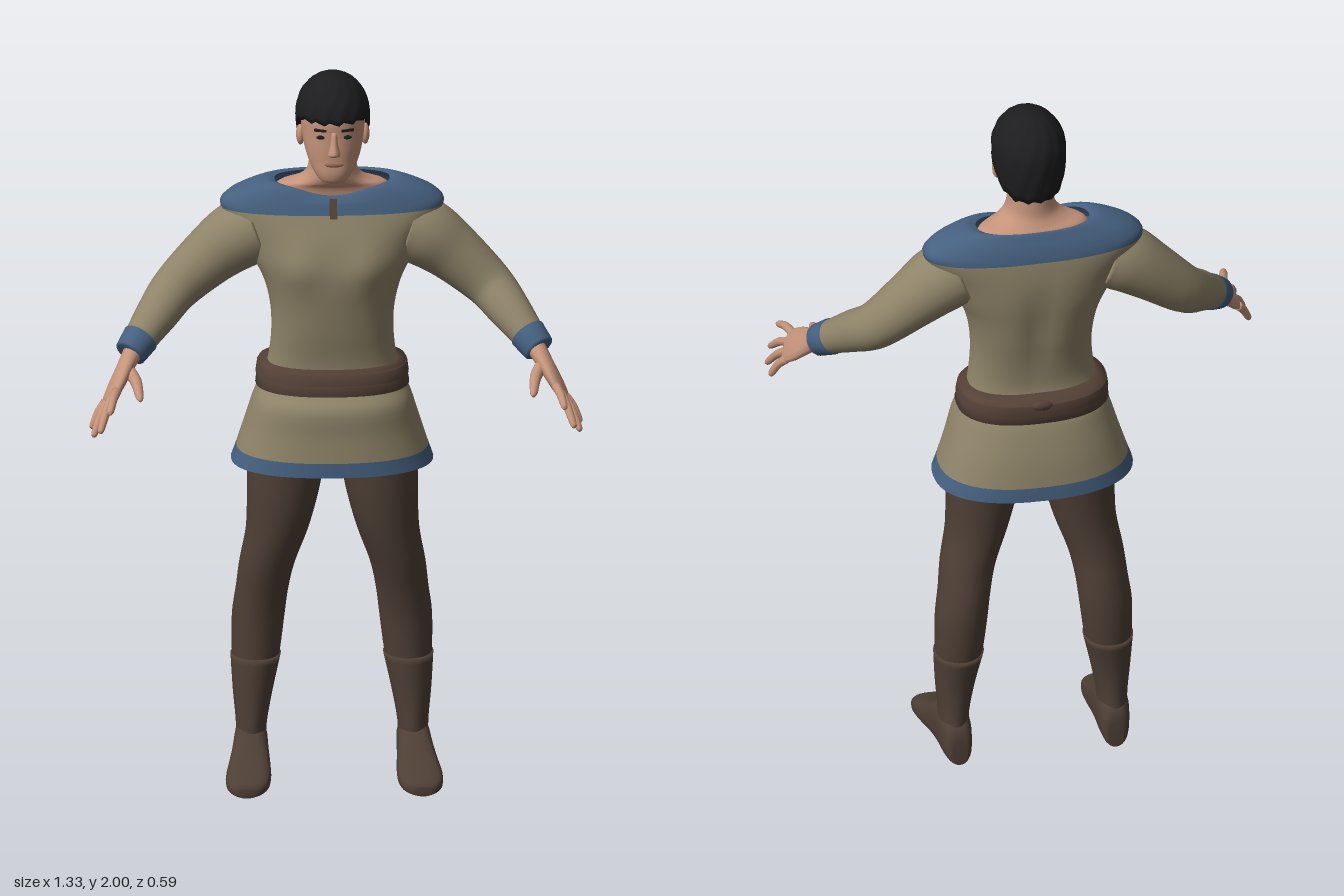
import * as THREE from 'three';

const mat = (name, color, side = THREE.FrontSide) => {
  const m = new THREE.MeshStandardMaterial({ color, side });
  m.name = name;
  return m;
};

// Catmull-Rom interpolation of every column, n steps per row
function smooth(rows, n) {
  const out = [], last = rows.length - 1;
  const cr = (a, b, c, d, t) => 0.5 * (2 * b + (c - a) * t + (2 * a - 5 * b + 4 * c - d) * t * t + (3 * b - a - 3 * c + d) * t * t * t);
  for (let i = 0; i < last; i++) {
    const a = rows[Math.max(i - 1, 0)], b = rows[i], c = rows[i + 1], d = rows[Math.min(i + 2, last)];
    for (let k = 0; k < n; k++) out.push(b.map((_, q) => cr(a[q], b[q], c[q], d[q], k / n)));
  }
  out.push(rows[last].slice());
  return out;
}

// One closed ring around c with half axes u and v; e is the squareness
function ring(c, u, v, e = 2, seg = 24) {
  const f = t => Math.sign(t) * Math.pow(Math.abs(t), 2 / e);
  return Array.from({ length: seg }, (_, j) => {
    const a = (j / seg) * Math.PI * 2;
    return c.clone().addScaledVector(u, f(Math.cos(a))).addScaledVector(v, f(Math.sin(a)));
  });
}

// Skin a stack of rings, with optional end caps
function loft(rings, caps = true) {
  const seg = rings[0].length, n = rings.length, pts = rings.flat(), idx = [];
  for (let i = 0; i < n - 1; i++) for (let j = 0; j < seg; j++) {
    const a = i * seg + j, b = i * seg + (j + 1) % seg;
    idx.push(a, a + seg, b, b, a + seg, b + seg);
  }
  if (caps) for (const i of [0, n - 1]) {
    const c = rings[i].reduce((s, p) => s.add(p), new THREE.Vector3()).divideScalar(seg);
    const k = pts.push(c) - 1;
    for (let j = 0; j < seg; j++) {
      const a = i * seg + j, b = i * seg + (j + 1) % seg;
      i ? idx.push(k, b, a) : idx.push(k, a, b);
    }
  }
  const g = new THREE.BufferGeometry().setFromPoints(pts);
  g.setIndex(idx);
  g.computeVertexNormals();
  return g;
}

// Level rings from rows [y, centre x, half width, front z, back z]
const level = (rows, n = 4, e = 2, seg = 32) => smooth(rows, n).map(([y, cx, rx, zf, zb]) =>
  ring(new THREE.Vector3(cx, y, (zf + zb) / 2), new THREE.Vector3(rx, 0, 0), new THREE.Vector3(0, 0, (zf - zb) / 2), e, seg));

// Limb along rows [x, y, z, radius, second radius]; ref sets the direction of the first radius
function limb(rows, s, ref = [0, 0, 1], n = 4, seg = 16) {
  const r = smooth(rows, n), at = i => new THREE.Vector3(s * r[i][0], r[i][1], r[i][2]);
  return loft(r.map((q, i) => {
    const d = at(Math.min(i + 1, r.length - 1)).sub(at(Math.max(i - 1, 0))).normalize();
    const u = new THREE.Vector3(s * ref[0], ref[1], ref[2]);
    u.addScaledVector(d, -u.dot(d)).normalize();
    const v = u.clone().cross(d);
    return ring(at(i), u.multiplyScalar(q[3]), v.multiplyScalar(q[4] ?? q[3]), 2, seg);
  }));
}

export function createModel() {
  const model = new THREE.Group();
  const skin = mat('skin', 0xc4937a), hair = mat('black hair', 0x1d1d1f, THREE.DoubleSide);
  const cloth = mat('tan cloth', 0x8f8469, THREE.DoubleSide), trim = mat('blue trim', 0x45607f, THREE.DoubleSide);
  const hose = mat('brown hose', 0x4e3f35), leather = mat('leather', 0x554237, THREE.DoubleSide), lip = mat('lips', 0xa06d5b);
  const add = (name, geo, m) => {
    const o = new THREE.Mesh(geo, m);
    o.name = name;
    model.add(o);
    return o;
  };

  // Tunic: hem, body and shoulder yoke in one smooth skin
  const tunicRows = [
    [0.89, 0, 0.272, 0.065, -0.297], [0.93, 0, 0.258, 0.062, -0.292], [1.0, 0, 0.236, 0.057, -0.28],
    [1.07, 0, 0.215, 0.055, -0.26], [1.11, 0, 0.198, 0.025, -0.243], [1.15, 0, 0.181, 0.0, -0.21],
    [1.2, 0, 0.17, 0.0, -0.2], [1.27, 0, 0.164, 0.012, -0.207], [1.34, 0, 0.168, 0.022, -0.22],
    [1.41, 0, 0.185, 0.03, -0.23], [1.47, 0, 0.213, 0.028, -0.236], [1.54, 0, 0.245, 0.012, -0.236],
    [1.61, 0, 0.3, -0.015, -0.227], [1.645, 0, 0.283, -0.027, -0.217], [1.67, 0, 0.24, -0.035, -0.205],
    [1.688, 0, 0.185, -0.043, -0.195], [1.684, 0, 0.155, -0.052, -0.188]];
  const N = 4, SEG = 48;
  const tunicRings = level(tunicRows, N, 2.35, SEG);
  for (const p of tunicRings.flat()) {
    const front = p.z > -0.115, chest = Math.exp(-(((p.y - 1.47) / 0.06) ** 2));
    // chest swell, spine groove and dipped neckline
    if (front) p.z += 0.014 * chest * Math.exp(-(((Math.abs(p.x) - 0.09) / 0.05) ** 2));
    else p.z += 0.014 * Math.exp(-((p.x / 0.035) ** 2) - (((p.y - 1.4) / 0.14) ** 2));
    if (front && p.y > 1.64) p.y -= 0.032 * (p.y - 1.64) / 0.048 * Math.exp(-((p.x / 0.1) ** 2));
  }
  const tunic = loft(tunicRings, false), strip = N * SEG * 6;
  tunic.addGroup(0, strip, 0);
  tunic.addGroup(strip, 11 * strip, 1);
  tunic.addGroup(12 * strip, 4 * strip, 0);
  add('tunic', tunic, [trim, cloth]);
  add('skirtLining', loft(level([[0.892, 0, 0.264, 0.057, -0.289], [0.95, 0, 0.245, 0.052, -0.282], [1.06, 0, 0.21, 0.045, -0.255]], 4, 2.35, 48), false), leather);
  const slit = add('neckSlit', new THREE.BoxGeometry(0.02, 0.055, 0.008), leather);
  slit.position.set(0, 1.628, -0.017);
  slit.rotation.x = -0.35;

  // Belt with a knot behind
  add('belt', loft(level([[1.108, 0, 0.19, 0.015, -0.235], [1.11, 0, 0.207, 0.035, -0.252], [1.14, 0, 0.201, 0.02, -0.247],
    [1.173, 0, 0.197, 0.01, -0.245], [1.176, 0, 0.172, -0.005, -0.2]], 1, 2.4, 48), false), leather);
  add('beltStrap', loft(level([[1.135, 0, 0.203, 0.02, -0.248], [1.137, 0, 0.206, 0.026, -0.252], [1.165, 0, 0.202, 0.018, -0.25], [1.167, 0, 0.197, 0.012, -0.246]], 1, 2.4, 48), false), leather);
  add('beltKnot', new THREE.SphereGeometry(0.018, 12, 8).scale(1.6, 0.8, 0.6), leather).position.set(0, 1.165, -0.248);

  // Neck and head
  add('neck', loft(level([[1.63, 0, 0.16, -0.06, -0.18], [1.672, 0, 0.148, -0.055, -0.182], [1.69, 0, 0.1, -0.04, -0.172],
    [1.715, 0, 0.071, -0.03, -0.16], [1.76, 0, 0.062, -0.03, -0.155], [1.82, 0, 0.06, -0.035, -0.15]])), skin);
  add('head', loft(level([[1.714, 0, 0.022, 0.018, -0.02], [1.722, 0, 0.038, 0.032, -0.04], [1.745, 0, 0.055, 0.039, -0.08],
    [1.775, 0, 0.069, 0.038, -0.11], [1.81, 0, 0.079, 0.039, -0.14], [1.85, 0, 0.085, 0.038, -0.16],
    [1.9, 0, 0.087, 0.037, -0.17], [1.95, 0, 0.072, 0.01, -0.15], [1.975, 0, 0.03, -0.04, -0.1]], 4, 2.15)), skin);
  add('nose', loft(level([[1.795, 0, 0.008, 0.042, 0.02], [1.801, 0, 0.017, 0.056, 0.02], [1.809, 0, 0.016, 0.063, 0.02],
    [1.835, 0, 0.01, 0.052, 0.02], [1.865, 0, 0.009, 0.04, 0.02]], 3, 2, 16)), skin);
  add('mouth', new THREE.SphereGeometry(1, 16, 8).scale(0.026, 0.008, 0.006), lip).position.set(0, 1.774, 0.036);

  // Hair cap: low at the nape, high over the brow
  const hairRings = [], H = 48;
  for (let i = 0; i <= 14; i++) {
    const row = [];
    for (let j = 0; j < H; j++) {
      const a = (j / H) * Math.PI * 2, s = Math.sin(a);
      const low = 1.775 + 0.117 * THREE.MathUtils.smoothstep(s, -0.9, 0.6) + 0.005 * Math.sin(j * 2.1);
      const t = Math.max(i - 1, 0) / 13, y = low + (2 - low) * Math.sin(t * Math.PI / 2);
      const h = (y - 1.89) / (y > 1.89 ? 0.11 : 0.26);
      const f = Math.sqrt(Math.max(0, 1 - h * h)) * (i ? 1 : 0.82) * (1 + 0.012 * Math.sin(j * 1.7 + i));
      row.push(new THREE.Vector3(Math.cos(a) * 0.1 * f, y, -0.07 + s * 0.122 * f));
    }
    hairRings.push(row);
  }
  add('hair', loft(hairRings, false), hair);

  for (const s of [1, -1]) {
    const side = s > 0 ? 'left' : 'right';
    const part = (name, geo, m) => add(side + name, geo, m);

    // Face details
    part('Ear', new THREE.SphereGeometry(1, 12, 10).scale(0.012, 0.03, 0.019), skin).position.set(s * 0.087, 1.828, -0.065);
    part('Eye', new THREE.SphereGeometry(1, 12, 8).scale(0.014, 0.006, 0.005), hair).position.set(s * 0.034, 1.85, 0.03);
    const brow = part('Brow', new THREE.BoxGeometry(0.034, 0.007, 0.008), hair);
    brow.position.set(s * 0.036, 1.87, 0.03);
    brow.rotation.y = s * 0.3;

    // Arm
    part('Sleeve', limb([[0.2, 1.545, -0.115, 0.09], [0.255, 1.522, -0.115, 0.093], [0.33, 1.465, -0.113, 0.08],
      [0.42, 1.385, -0.092, 0.066], [0.475, 1.33, -0.03, 0.057], [0.54, 1.262, 0.05, 0.041]], s, [0, 0, 1], 5, 24), cloth);
    part('Cuff', limb([[0.518, 1.285, 0.023, 0.043], [0.52, 1.283, 0.025, 0.05], [0.549, 1.253, 0.06, 0.044], [0.551, 1.251, 0.062, 0.036]], s, [0, 0, 1], 1, 24), trim);
    part('Palm', limb([[0.53, 1.27, 0.04, 0.033, 0.028], [0.55, 1.245, 0.075, 0.031, 0.025], [0.567, 1.222, 0.105, 0.038, 0.022],
      [0.59, 1.19, 0.145, 0.049, 0.019], [0.608, 1.163, 0.177, 0.047, 0.014], [0.612, 1.157, 0.185, 0.035, 0.007]], s, [-0.4, 0.65, 0.65]), skin);
    const tips = [[0.612, 1.163, 0.293], [0.638, 1.103, 0.278], [0.655, 1.078, 0.237], [0.658, 1.08, 0.175]];
    tips.forEach((tip, i) => {
      const k = 0.036 - i * 0.024, base = [0.605 - 0.4 * k, 1.168 + 0.65 * k, 0.17 + 0.65 * k];
      const mix = (t, lift) => base.map((b, q) => b + (tip[q] - b) * t + (q === 1 ? lift : 0));
      part('Finger' + (i + 1), limb([[...base, 0.013], [...mix(0.5, 0.008), 0.0115], [...mix(0.92, 0), 0.009], [...tip, 0.003]], s, [-0.4, 0.65, 0.65], 3, 10), skin);
    });
    part('Thumb', limb([[0.56, 1.222, 0.1, 0.02], [0.538, 1.208, 0.16, 0.016], [0.53, 1.187, 0.225, 0.011], [0.528, 1.18, 0.243, 0.004]], s, [0, 1, 0], 4, 10), skin);

    // Leg
    const leg = [[0.08, 0.218, 0.037, -0.055, -0.183], [0.14, 0.217, 0.038, -0.056, -0.18], [0.23, 0.213, 0.05, -0.06, -0.183],
      [0.33, 0.205, 0.064, -0.06, -0.2], [0.44, 0.198, 0.071, -0.054, -0.208], [0.52, 0.188, 0.071, -0.04, -0.204],
      [0.6, 0.175, 0.075, -0.02, -0.192], [0.7, 0.149, 0.084, 0.0, -0.185], [0.8, 0.134, 0.096, 0.01, -0.188],
      [0.89, 0.125, 0.104, 0.012, -0.195], [1.0, 0.115, 0.112, 0.015, -0.22], [1.08, 0.1, 0.1, 0.005, -0.2]];
    part('Leg', loft(level(leg.map(([y, x, ...r]) => [y, s * x, ...r]))), hose);
    const shaft = leg.slice(0, 4).map(([y, x, rx, f, b]) => [y, s * x, rx + 0.004, f + 0.004, b - 0.004]);
    part('BootShaft', loft(level(shaft)), hose);

    // Foot: rows [z, centre x, half width, height] from heel to toe
    const foot = [[-0.197, 0.214, 0.02, 0.07], [-0.188, 0.215, 0.034, 0.11], [-0.15, 0.217, 0.043, 0.14], [-0.1, 0.219, 0.046, 0.145],
      [-0.05, 0.222, 0.05, 0.122], [0.0, 0.226, 0.057, 0.088], [0.05, 0.231, 0.061, 0.064], [0.09, 0.234, 0.055, 0.047],
      [0.112, 0.236, 0.04, 0.036], [0.12, 0.237, 0.022, 0.025]];
    part('Boot', loft(smooth(foot, 3).map(([z, x, w, h]) => ring(new THREE.Vector3(s * x, h / 2, z),
      new THREE.Vector3(w, 0, 0), new THREE.Vector3(0, -h / 2, 0), 2.7, 24))), hose);
  }
  return model;
}
